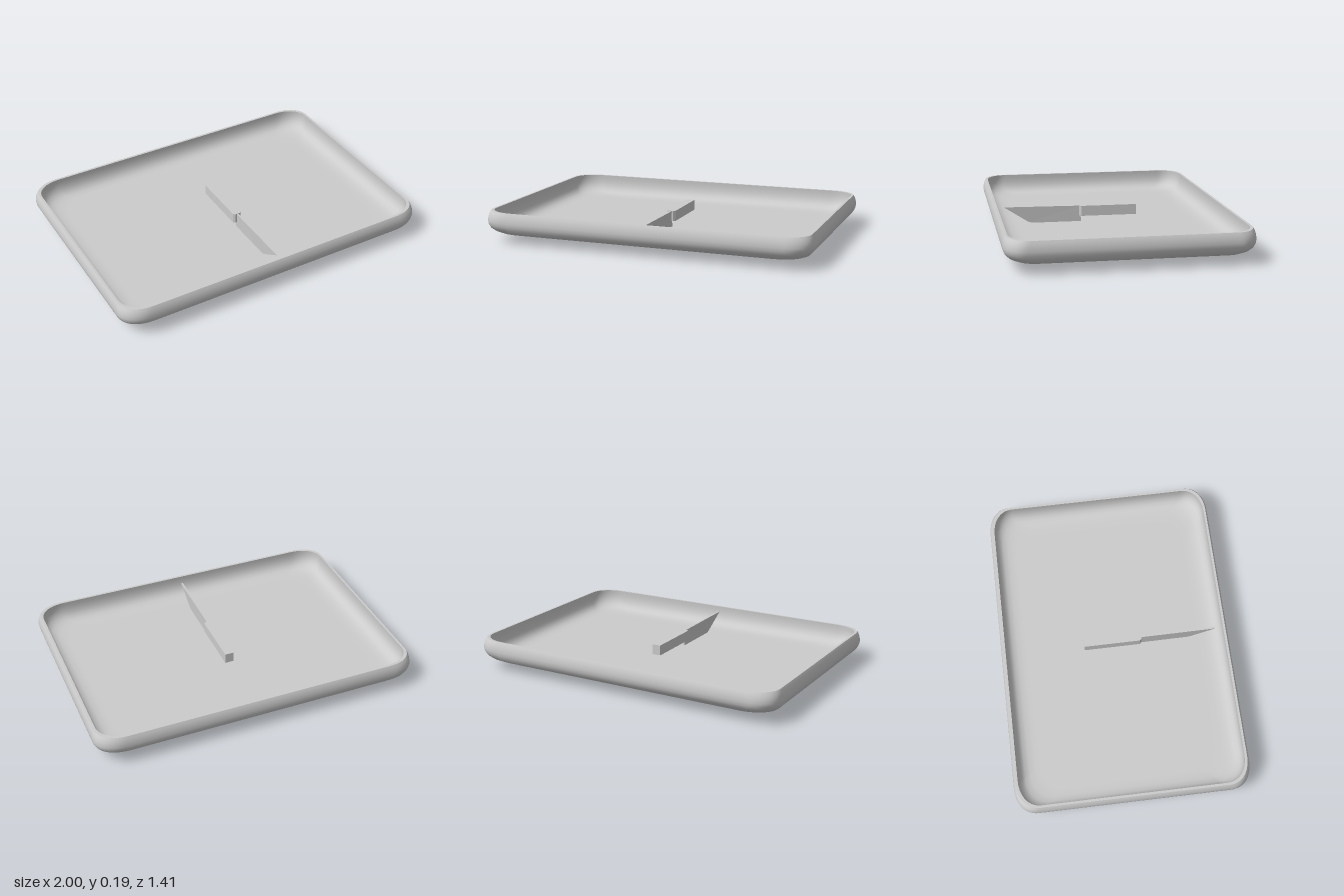
import * as THREE from 'three';

const grey = new THREE.MeshStandardMaterial({ color: 0xcccccc });
grey.name = 'light grey';

// Rounded rectangle in plan, drawn inwards by the given inset
function ring(inset, y, steps = 14) {
  const hx = 1 - inset, hz = 0.705 - inset, rx = 0.17, rz = 0.13, pts = [];
  for (let q = 0; q < 4; q++) {
    for (let i = 0; i <= steps; i++) {
      const a = (q + i / steps) * Math.PI / 2;
      const c = Math.cos(a), s = Math.sin(a), p = 0.9;
      const sx = q === 0 || q === 3 ? 1 : -1, sz = q < 2 ? 1 : -1;
      pts.push([
        sx * (hx - rx + rx * Math.pow(Math.abs(c), p)), y,
        sz * (hz - rz + rz * Math.pow(Math.abs(s), p)),
      ]);
    }
  }
  return pts;
}

// Smooth skin through stacked rings; a null inset closes it at the centre
function skin(profile) {
  const rings = profile.map(([inset, y]) =>
    inset === null ? ring(0, y).map(() => [0, y, 0]) : ring(inset, y));
  const n = rings[0].length, index = [];
  for (let r = 0; r < rings.length - 1; r++) {
    for (let i = 0; i < n; i++) {
      const j = (i + 1) % n, a = r * n + i, b = r * n + j;
      index.push(a, a + n, b, b, a + n, b + n);
    }
  }
  const g = new THREE.BufferGeometry();
  g.setAttribute('position', new THREE.Float32BufferAttribute(rings.flat(2), 3));
  g.setIndex(index);
  g.computeVertexNormals();
  return g;
}

function add(group, name, geometry) {
  const mesh = new THREE.Mesh(geometry, grey);
  mesh.name = name;
  group.add(mesh);
  return mesh;
}

function makeTray() {
  const tray = new THREE.Group();
  tray.name = 'tray';
  // Outer wall and underside, from the bottom centre up to the rim
  add(tray, 'trayOutside', skin([
    [null, 0.04], [0.16, 0.04], [0.12, 0.041], [0.085, 0.045], [0.055, 0.053],
    [0.03, 0.067], [0.012, 0.086], [0.003, 0.108], [0, 0.13], [0.003, 0.155],
    [0.009, 0.175], [0.016, 0.189],
  ]));
  // Flat lip
  add(tray, 'trayRim', skin([[0.016, 0.189], [0.03, 0.189]]));
  // Inner wall and floor, from the rim down to the centre
  add(tray, 'trayInside', skin([
    [0.03, 0.189], [0.029, 0.165], [0.031, 0.14], [0.037, 0.115], [0.05, 0.093],
    [0.07, 0.077], [0.1, 0.068], [0.14, 0.065], [0.18, 0.065], [null, 0.065],
  ]));
  return tray;
}

function makeKnife() {
  const knife = new THREE.Group();
  knife.name = 'knife';
  knife.position.x = 0.012;

  // Handle: plan outline with a chamfered front end, extruded upwards
  const plan = new THREE.Shape([
    [-0.027, 0.19], [0.027, 0.19], [0.027, -0.155],
    [0.015, -0.167], [-0.015, -0.167], [-0.027, -0.155],
  ].map(([x, z]) => new THREE.Vector2(x, z)));
  const handle = new THREE.ExtrudeGeometry(plan, { depth: 0.063, bevelEnabled: false });
  handle.rotateX(-Math.PI / 2);
  add(knife, 'handle', handle).position.y = 0.102;

  // Blade: side outline (z, y), thinned towards the cutting edge
  const side = new THREE.Shape([
    [0.163, 0.163], [0.145, 0.0], [0.35, 0.04], [0.48, 0.071], [0.63, 0.168],
  ].map(([z, y]) => new THREE.Vector2(z, y)));
  const blade = new THREE.ExtrudeGeometry(side, { depth: 0.012, bevelEnabled: false });
  blade.translate(0, 0, -0.006).rotateY(-Math.PI / 2);
  const p = blade.attributes.position;
  for (let i = 0; i < p.count; i++) if (p.getY(i) < 0.1) p.setX(i, p.getX(i) * 0.4);
  blade.computeVertexNormals();
  add(knife, 'blade', blade);
  return knife;
}

export function createModel() {
  const model = new THREE.Group();
  model.name = 'trayWithKnife';
  model.add(makeTray(), makeKnife());
  return model;
}
